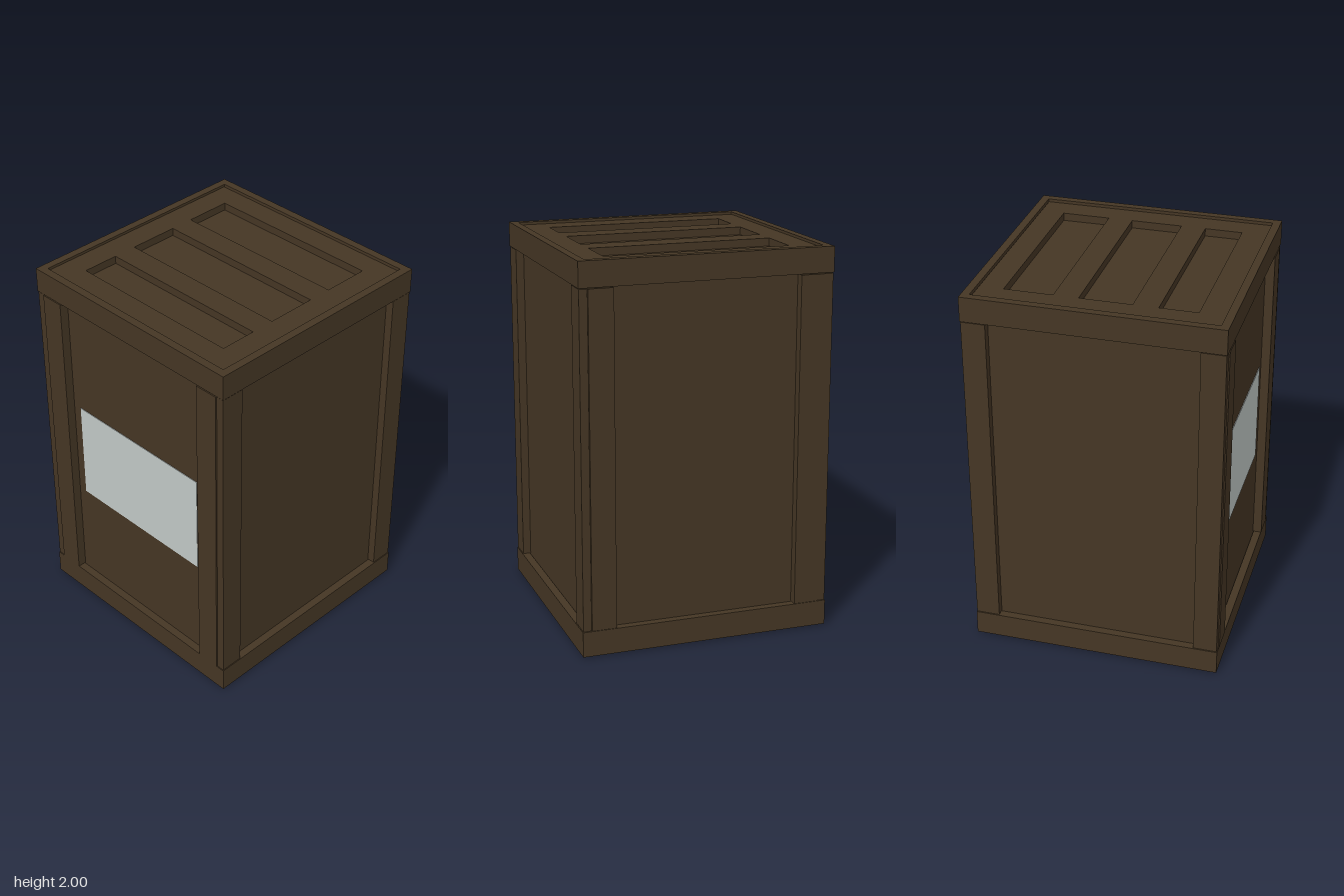
import * as THREE from 'three';

export function createModel() {
  const crate = new THREE.Group();
  crate.name = 'crate';
  const wood = new THREE.MeshStandardMaterial({ color: 0x453624 });
  wood.name = 'dark wood';
  const paper = new THREE.MeshStandardMaterial({ color: 0xc2c9c7 });
  paper.name = 'grey label';

  // Box given by its lower and upper corners
  function box(name, [x0, y0, z0], [x1, y1, z1], material = wood) {
    const mesh = new THREE.Mesh(new THREE.BoxGeometry(x1 - x0, y1 - y0, z1 - z0), material);
    mesh.position.set((x0 + x1) / 2, (y0 + y1) / 2, (z0 + z1) / 2);
    mesh.name = name;
    crate.add(mesh);
  }

  const outer = 0.657, inner = 0.615, panel = 0.612;

  // Plain panelled core
  box('panels', [-panel, 0.05, -panel], [panel, 1.945, panel]);

  // Rails around the top and bottom
  for (const [name, y0, y1] of [['bottomRail', 0.008, 0.14], ['topRail', 1.87, 2]]) {
    box(name + 'Front', [-outer, y0, inner], [outer, y1, outer]);
    box(name + 'Back', [-outer, y0, -outer], [outer, y1, -inner]);
    box(name + 'Left', [inner, y0, -inner], [outer, y1, inner]);
    box(name + 'Right', [-outer, y0, -inner], [-inner, y1, inner]);
  }

  // Upright battens: wide ones on front and back, with side ones tucked behind them
  for (const sx of [-1, 1]) {
    for (const sz of [-1, 1]) {
      const span = (s, a, b) => (s > 0 ? [a, b] : [-b, -a]);
      const [fx0, fx1] = span(sx, 0.53, outer - 0.003);
      const [fz0, fz1] = span(sz, panel, outer - 0.003);
      box('frontBackStile', [fx0, 0.143, fz0], [fx1, 1.866, fz1]);
      const [ex0, ex1] = span(sx, panel, outer + 0.003);
      const [ez0, ez1] = span(sz, 0.482, panel - 0.002);
      box('sideStile', [ex0, 0.143, ez0], [ex1, 1.866, ez1]);
    }
  }

  // Lid and base: cross battens with four slats between them
  const slats = [[-0.612, -0.48], [-0.285, -0.157], [0.11, 0.238], [0.488, 0.612]];
  for (const [name, y0, y1] of [['base', 0.002, 0.06], ['lid', 1.94, 1.986]]) {
    box(name + 'BattenFront', [-panel, y0, 0.48], [panel, y1, 0.61]);
    box(name + 'BattenBack', [-panel, y0, -0.615], [panel, y1, -0.485]);
    for (const [x0, x1] of slats) {
      box(name + 'Slat', [x0, y0, -0.485], [x1, y1, 0.48]);
    }
  }

  // Blank label on the right-hand panel
  box('label', [-panel - 0.003, 0.69, -0.43], [-panel, 1.24, 0.43], paper);

  return crate;
}
